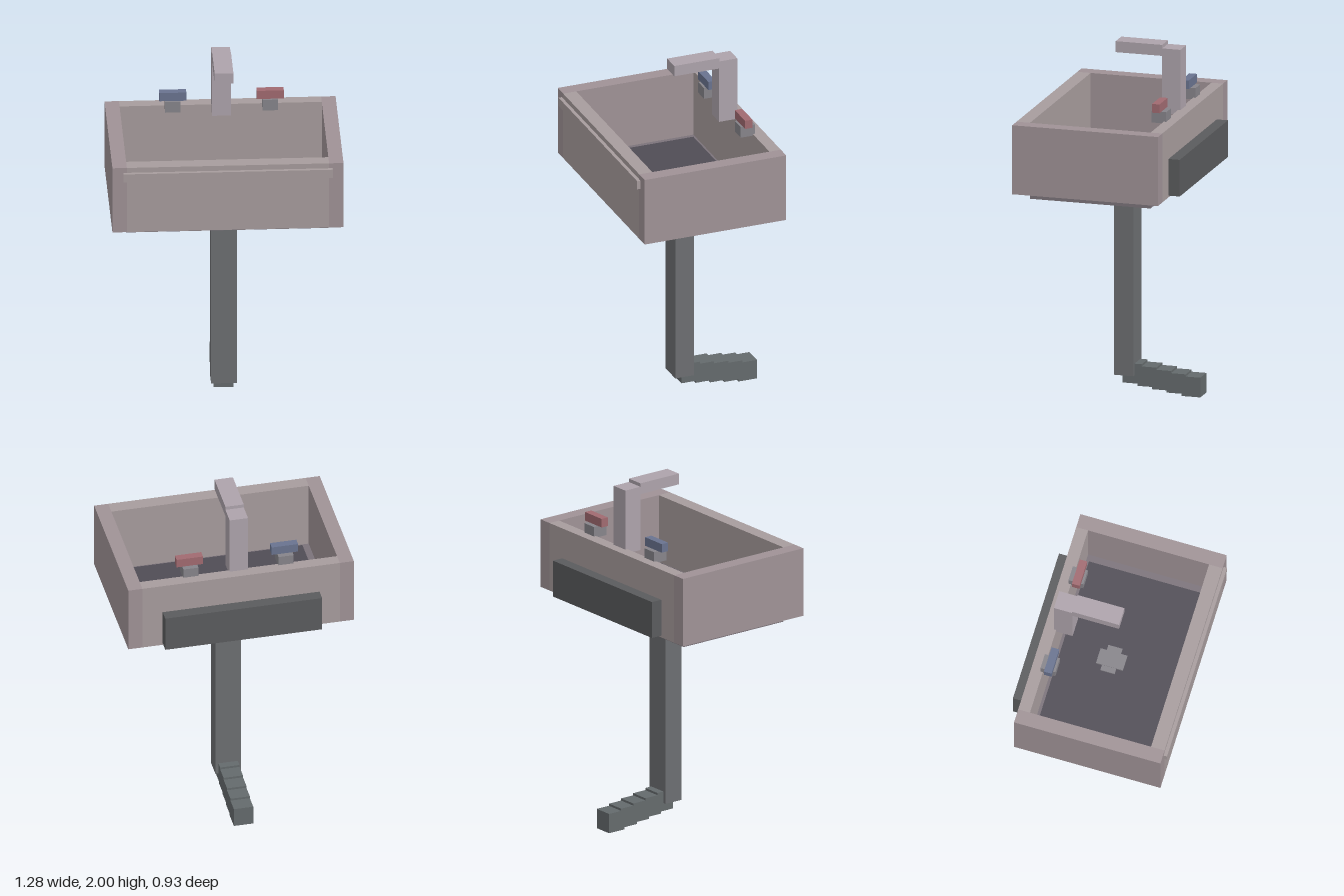
import * as THREE from 'three';

const mat = (color) => new THREE.MeshStandardMaterial({ color });
const M = {
  basin: mat(0xa79c9d), side: mat(0x9f9296), base: mat(0x7b737a), floor: mat(0x504c55),
  metal: mat(0xada3ab), stem: mat(0x86848a), cold: mat(0x69738f), hot: mat(0xa06a70),
  pipe: mat(0x6c6e71), hose: mat(0x646a6c), bracket: mat(0x5a5b5d),
};

export function createModel() {
  const model = new THREE.Group();
  model.name = 'sink';

  // Box given by its extents along each axis
  const box = (name, material, [x0, x1], [y0, y1], [z0, z1]) => {
    const mesh = new THREE.Mesh(new THREE.BoxGeometry(x1 - x0, y1 - y0, z1 - z0), material);
    mesh.position.set((x0 + x1) / 2, (y0 + y1) / 2, (z0 + z1) / 2);
    mesh.name = name;
    model.add(mesh);
    return mesh;
  };

  // Basin walls
  const wallY = [1.24, 1.635];
  box('rightWall', M.side, [-0.64, -0.56], wallY, [-0.4, 0.445]);
  box('leftWall', M.side, [0.56, 0.64], wallY, [-0.4, 0.445]);
  box('frontWall', M.basin, [-0.56, 0.56], wallY, [0.367, 0.445]);
  box('backWall', M.basin, [-0.56, 0.56], wallY, [-0.4, -0.332]);
  box('frontTrim', M.basin, [-0.58, 0.58], [1.555, 1.605], [0.445, 0.465]);

  // Basin bottom, inner floor and cross-shaped drain
  box('basinBase', M.base, [-0.56, 0.56], [1.2, 1.245], [-0.332, 0.367]);
  box('basinFloor', M.floor, [-0.52, 0.52], [1.245, 1.253], [-0.315, 0.35]);
  box('drainWide', M.stem, [-0.077, 0.077], [1.253, 1.262], [-0.07, 0.012]);
  box('drainLong', M.stem, [-0.045, 0.045], [1.253, 1.265], [-0.105, 0.05]);

  // Faucet
  box('faucetColumn', M.metal, [-0.052, 0.052], [1.61, 1.98], [-0.346, -0.238]);
  box('faucetSpout', M.metal, [-0.052, 0.052], [1.937, 2], [-0.24, 0.03]);

  // Cold and hot handles
  for (const [name, x, material] of [['cold', -0.268, M.cold], ['hot', 0.272, M.hot]]) {
    box(name + 'Stem', M.stem, [x - 0.043, x + 0.043], [1.625, 1.69], [-0.346, -0.26]);
    box(name + 'Handle', material, [x - 0.075, x + 0.075], [1.69, 1.74], [-0.317, -0.273]);
  }

  // Wall bracket behind the basin
  box('wallBracket', M.bracket, [-0.445, 0.445], [1.25, 1.46], [-0.465, -0.4]);

  // Drain pipe and the stepped hose running back from its foot
  box('drainPipe', M.pipe, [-0.072, 0.072], [0.095, 1.2], [-0.08, 0.032]);
  for (let i = 0; i < 5; i++) {
    const y = 0.05 - 0.0125 * i;
    const z = -0.012 - 0.085 * i;
    box('hoseSegment' + (i + 1), M.hose, [-0.055, 0.055], [y, y + 0.113], [z - 0.11, z]);
  }

  return model;
}
